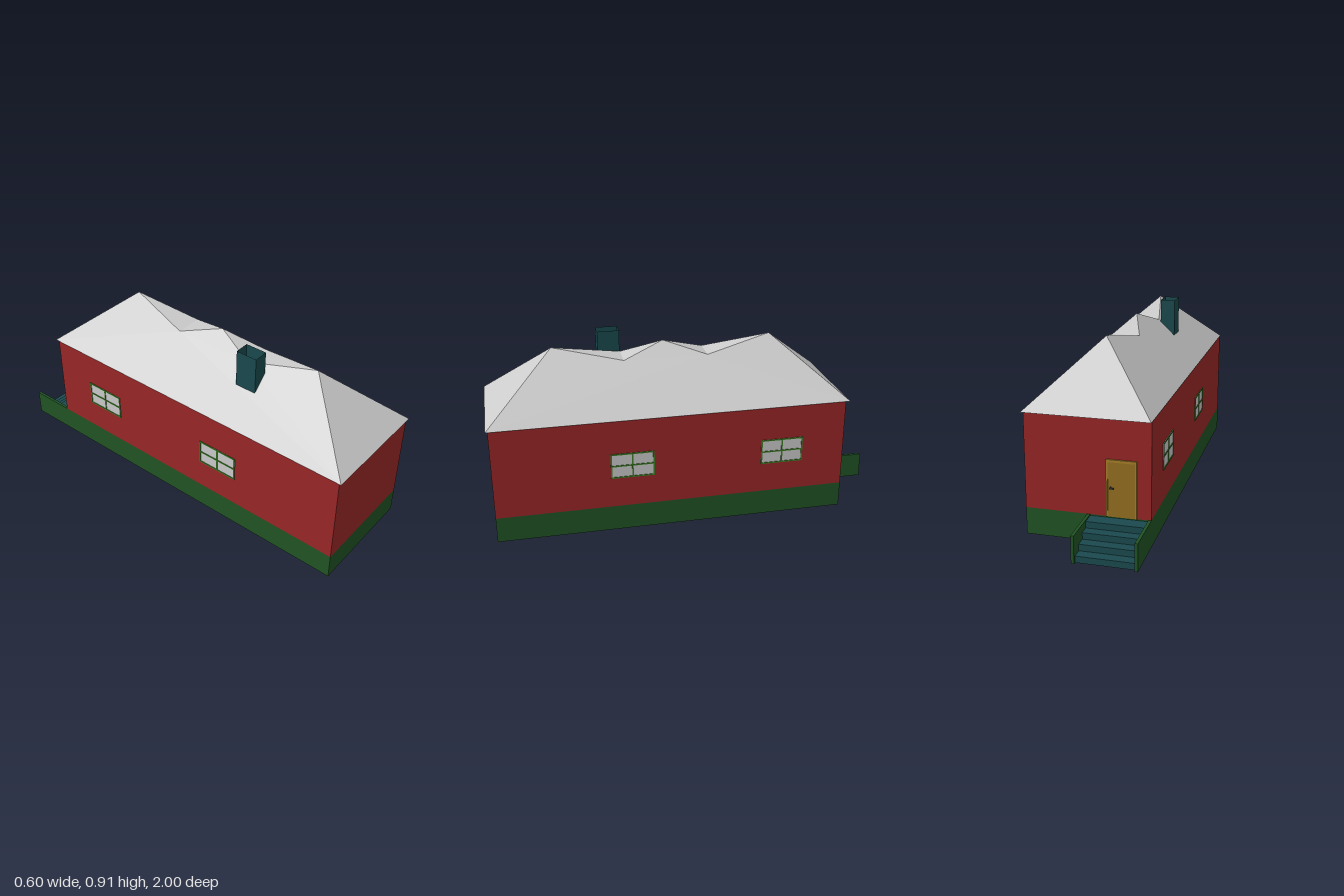
import * as THREE from 'three';

const mat = (color, side = THREE.FrontSide) =>
  new THREE.MeshStandardMaterial({ color, side, flatShading: true });
const GREY = mat(0xcccccc), RED = mat(0x992626), GREEN = mat(0x205424), TEAL = mat(0x1a4a4f);
const FRAME = mat(0x3f8026), GOLD = mat(0x957020), TRIM = mat(0xa88028), METAL = mat(0x444444);

// Box given by its minimum and maximum corners
function block(name, material, [x0, y0, z0], [x1, y1, z1]) {
  const mesh = new THREE.Mesh(new THREE.BoxGeometry(x1 - x0, y1 - y0, z1 - z0), material);
  mesh.position.set((x0 + x1) / 2, (y0 + y1) / 2, (z0 + z1) / 2);
  mesh.name = name;
  return mesh;
}

// Flat-shaded surface from a list of point triples
function faces(name, material, triangles) {
  const geo = new THREE.BufferGeometry();
  geo.setAttribute('position', new THREE.Float32BufferAttribute(triangles.flat(2), 3));
  geo.computeVertexNormals();
  const mesh = new THREE.Mesh(geo, material);
  mesh.name = name;
  return mesh;
}

const HALF = 0.297, EAVE = 0.587, RIDGE = 0.875;
const roofY = (x) => RIDGE - (Math.abs(x) / HALF) * (RIDGE - EAVE);

// Hipped roof with two V-shaped dips cut in the ridge
function makeRoof() {
  const front = (s) => [s * HALF, EAVE, 1], back = (s) => [s * HALF, EAVE, -0.785];
  const dip = (s, z) => [s * 0.07, roofY(0.07), z];
  const [p1, p2, p3] = [0.66, 0.11, -0.44].map((z) => [0, RIDGE, z]);
  const tris = [[front(-1), front(1), p1], [back(1), back(-1), p3],
    [front(-1), back(-1), back(1)], [front(-1), back(1), front(1)]];
  for (const s of [1, -1]) {
    const F = front(s), B = back(s), n1 = dip(s, 0.315), n2 = dip(s, -0.105);
    const slope = [[F, B, n2], [F, n2, n1], [B, p3, n2], [n2, p2, n1], [F, n1, p1]];
    tris.push(...slope.map((t) => (s > 0 ? t : [...t].reverse())));
  }
  for (const [a, b, z] of [[p1, p2, 0.315], [p2, p3, -0.105]]) {
    tris.push([a, dip(1, z), dip(-1, z)], [b, dip(-1, z), dip(1, z)]);
  }
  return faces('roof', GREY, tris);
}

// Open flue whose lower edge follows the roof slope
function makeChimney() {
  const corners = [[-0.155, 0.425], [-0.08, 0.425], [-0.08, 0.315], [-0.155, 0.315]];
  const tris = [];
  corners.forEach(([x, z], i) => {
    const [u, w] = corners[(i + 1) % 4];
    const a = [x, roofY(x), z], b = [u, roofY(u), w], c = [u, 0.913, w], d = [x, 0.913, z];
    tris.push([a, b, c], [a, c, d]);
  });
  return faces('chimney', mat(0x1a4a4f, THREE.DoubleSide), tris);
}

// Four-pane window, facing +x
function makeWindow() {
  const g = new THREE.Group();
  const w = 0.108, h = 0.065, t = 0.007;
  g.add(block('glass', GREY, [-0.004, -h, -w], [0.002, h, w]));
  for (const z of [-w, -t / 2, w - t]) {
    g.add(block('windowUpright', FRAME, [-0.004, -h, z], [0.005, h, z + t]));
  }
  for (const y of [-h, -t / 2, h - t]) {
    g.add(block('windowBar', FRAME, [-0.004, y, -w], [0.005, y + t, w]));
  }
  g.name = 'window';
  return g;
}

// Back door with frame and handle
function makeDoor() {
  const g = new THREE.Group();
  g.name = 'door';
  g.add(block('doorPanel', GOLD, [-0.23, 0.13, -0.768], [-0.09, 0.4, -0.75]));
  g.add(block('doorHead', TRIM, [-0.23, 0.388, -0.772], [-0.09, 0.4, -0.75]));
  for (const x of [-0.23, -0.098]) {
    g.add(block('doorJamb', TRIM, [x, 0.13, -0.772], [x + 0.008, 0.4, -0.75]));
  }
  g.add(block('handleStem', METAL, [-0.114, 0.266, -0.782], [-0.109, 0.273, -0.767]));
  g.add(block('handle', METAL, [-0.13, 0.266, -0.784], [-0.109, 0.273, -0.779]));
  return g;
}

// Back steps between two low side walls
function makeStairs() {
  const g = new THREE.Group();
  g.name = 'stairs';
  const edges = [-0.985, -0.933, -0.882, -0.832];
  edges.forEach((z, i) => {
    const end = edges[i + 1] ?? -0.764;
    g.add(block('step', TEAL, [-0.283, 0, z], [-0.012, 0.031 * (i + 1), end]));
  });
  for (const x of [-0.295, -0.014]) {
    g.add(block('stairWall', GREEN, [x, 0, -1], [x + 0.014, 0.13, -0.764]));
  }
  return g;
}

export function createModel() {
  const house = new THREE.Group();
  house.name = 'house';
  house.add(block('foundation', GREEN, [-0.295, 0, -0.764], [0.291, 0.13, 0.99]));
  house.add(block('walls', RED, [-0.295, 0.13, -0.764], [0.291, 0.586, 0.99]));
  house.add(makeRoof(), makeChimney(), makeDoor(), makeStairs());
  for (const z of [0.318, -0.438]) {
    for (const s of [1, -1]) {
      const win = makeWindow();
      win.position.set(s > 0 ? 0.29 : -0.294, 0.349, z);
      if (s < 0) win.rotation.y = Math.PI;
      house.add(win);
    }
  }
  return house;
}
